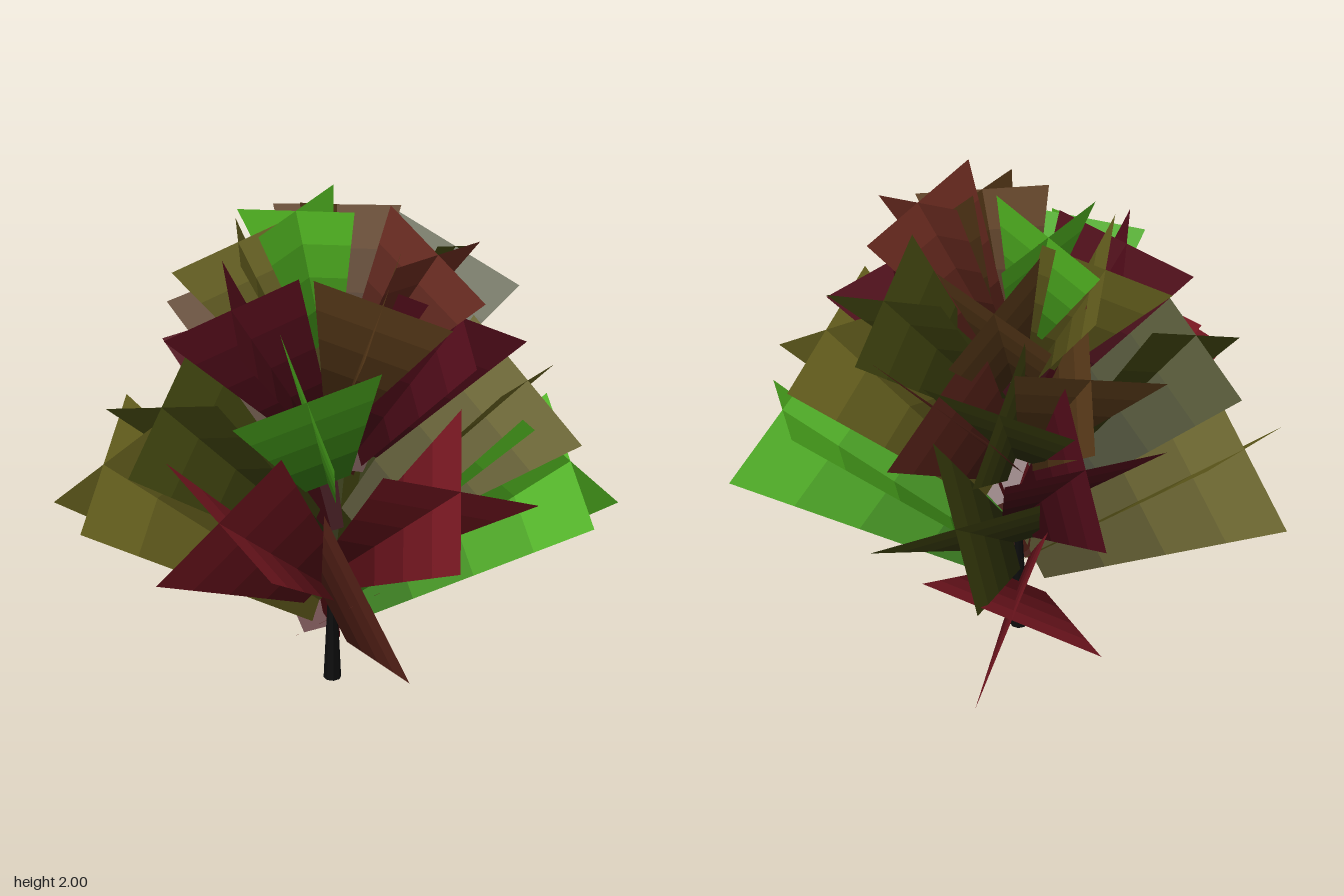
import * as THREE from 'three';

const TRUNK_X = 0.02;
const BASE_RATIO = 0.3; // width at the trunk relative to the tip

// Sprays by colour: compass angle, tip height, reach, roll about the axis (degrees)
const FOLIAGE = {
  red: { color: 0x7a1822, sprays: [[-44, 0.735, 0.96, 21], [176, 1.05, 0.76, 27], [103, 1.15, 0.76, 30]] },
  maroon: { color: 0x520c1a, sprays: [[-66, 1.21, 0.7, 0], [59, 1.59, 0.5, 70], [-151, 1.69, 0.4, 20]] },
  rust: { color: 0x66291e, sprays: [[134, 0.85, 0.87, 68], [-17, 1.46, 0.68, 14], [61, 1.865, 0.41, 32]] },
  brown: { color: 0x5c3c1a, sprays: [[-74, 1.5, 0.55, 20], [108, 1.78, 0.35, 47], [-33, 1.78, 0.46, 27]] },
  olive: { color: 0x66601e, sprays: [[-126, 0.92, 0.84, 25], [52, 1.28, 0.74, 27], [-103, 1.8, 0.37, 62]] },
  moss: { color: 0x40440f, sprays: [[-29, 1.04, 0.84, 64], [-143, 1.28, 0.65, 53], [-39, 1.48, 0.68, 14], [19, 1.68, 0.57, 56]] },
  green: { color: 0x4fb020, sprays: [[50, 0.91, 0.9, 68], [152, 1.51, 0.54, 63], [-75, 1.93, 0.2, 70]] },
};

// Two tapered blades crossing on the axis, between fractions t0 and t1
function crossedBlades(base, tip, offsets, t0, t1) {
  const positions = [], index = [];
  for (const off of offsets) {
    const first = positions.length / 3;
    for (const t of [t0, t1]) {
      const centre = base.clone().lerp(tip, t);
      const scale = BASE_RATIO + (1 - BASE_RATIO) * t;
      for (const side of [-1, 1]) {
        positions.push(...centre.clone().addScaledVector(off, side * scale).toArray());
      }
    }
    index.push(first, first + 1, first + 3, first, first + 3, first + 2);
  }
  const geo = new THREE.BufferGeometry();
  geo.setAttribute('position', new THREE.Float32BufferAttribute(positions, 3));
  geo.setIndex(index);
  geo.computeVertexNormals();
  return geo;
}

function leafSpray(color, [compass, tipY, reach, roll]) {
  const spray = new THREE.Group();
  spray.name = 'leafSpray';
  const angle = THREE.MathUtils.degToRad(compass);
  const tip = new THREE.Vector3(reach * Math.cos(angle), tipY, reach * Math.sin(angle));

  // Higher sprays leave the trunk higher up, start further out and are narrower
  const rise = tipY - 0.735;
  const rootY = 0.2 + 0.45 * rise + 0.35 * rise * rise;
  const width = 0.36 - 0.08 * rise;
  const base = new THREE.Vector3(TRUNK_X, rootY, 0).lerp(tip, 0.02 + 0.2 * rise);
  const axis = tip.clone().sub(base).normalize();

  // Two equal half-widths, square to the axis and to each other
  const u = new THREE.Vector3(-Math.sin(angle), 0, Math.cos(angle))
    .projectOnPlane(axis)
    .setLength(width)
    .applyAxisAngle(axis, -THREE.MathUtils.degToRad(roll));
  const v = new THREE.Vector3().crossVectors(axis, u);

  // Blades darken in bands toward the trunk
  const bands = 4;
  for (let i = 0; i < bands; i++) {
    const material = new THREE.MeshStandardMaterial({
      color: new THREE.Color(color).multiplyScalar(0.4 + 0.6 * i / (bands - 1)),
      side: THREE.DoubleSide,
    });
    const geo = crossedBlades(base, tip, [u, v], i / bands, (i + 1) / bands);
    const mesh = new THREE.Mesh(geo, material);
    mesh.name = 'leafBlades';
    spray.add(mesh);
  }
  return spray;
}

export function createModel() {
  const model = new THREE.Group();
  model.name = 'bush';

  // Trunk, tapering up into the crown
  const trunk = new THREE.Mesh(
    new THREE.CylinderGeometry(0.006, 0.033, 0.6, 8),
    new THREE.MeshStandardMaterial({ color: 0x0c0c0c, flatShading: true }),
  );
  trunk.name = 'trunk';
  trunk.position.set(TRUNK_X, 0.3, 0);
  model.add(trunk);

  // Foliage
  for (const [name, { color, sprays }] of Object.entries(FOLIAGE)) {
    const group = new THREE.Group();
    group.name = `${name}Foliage`;
    for (const spec of sprays) group.add(leafSpray(color, spec));
    model.add(group);
  }
  return model;
}
